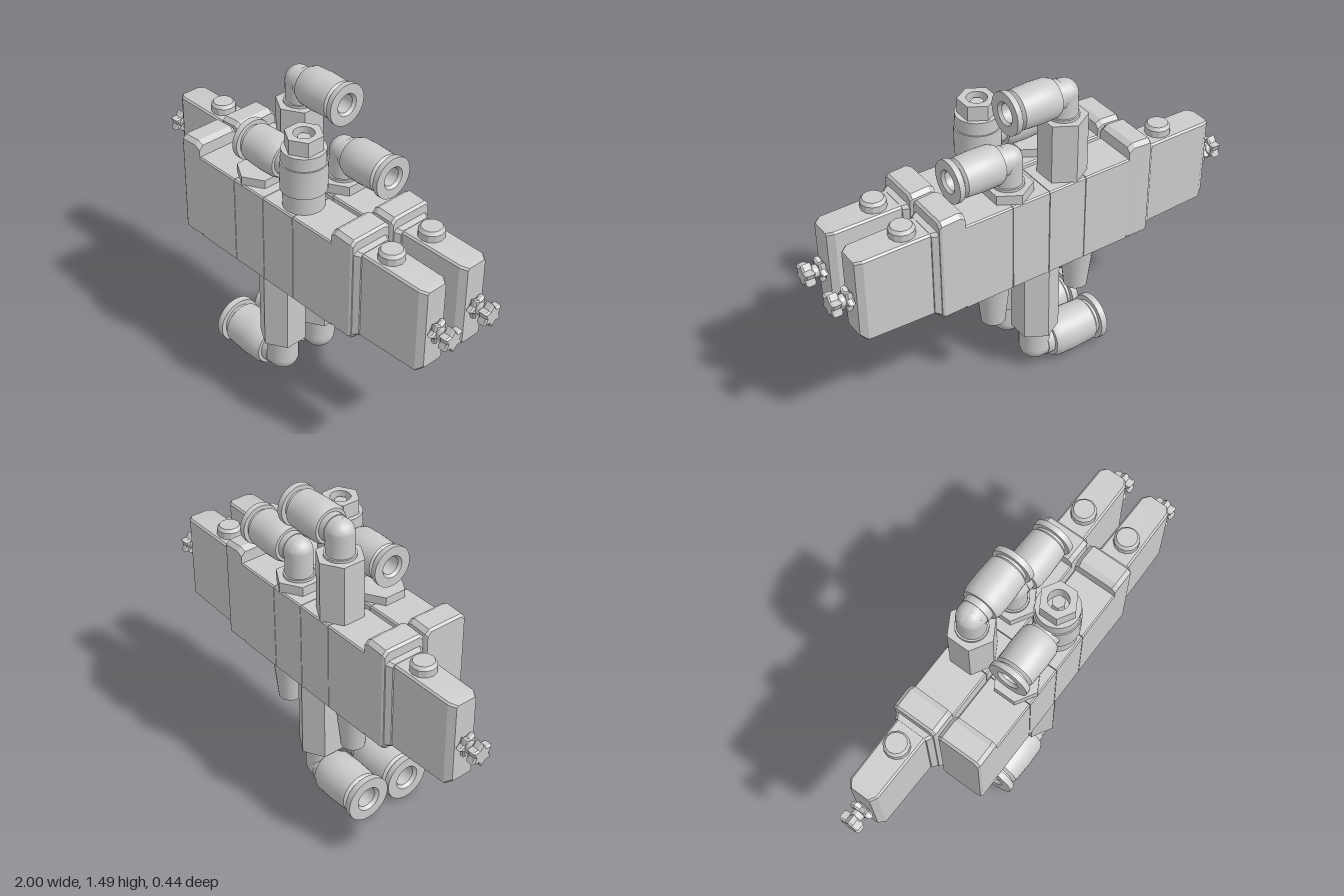
import * as THREE from 'three';
import { toCreasedNormals } from 'three/addons/utils/BufferGeometryUtils.js';

const material = new THREE.MeshStandardMaterial({ color: 0xcccccc });
const HEX = 6;

function add(parent, name, geometry, x = 0, y = 0, z = 0) {
  const mesh = new THREE.Mesh(toCreasedNormals(geometry, 0.5), material);
  mesh.name = name;
  mesh.position.set(x, y, z);
  parent.add(mesh);
  return mesh;
}

// Upright cylinder or prism given by its bottom and top heights
function post(parent, name, x, y0, y1, rBottom, rTop = rBottom, sides = 32) {
  return add(parent, name, new THREE.CylinderGeometry(rTop, rBottom, y1 - y0, sides), x, (y0 + y1) / 2);
}

// Loft along x through chamfered rectangles: [x, yBottom, yTop, halfWidth, chamfer]
function loft(sections) {
  const positions = [], index = [];
  for (const [x, y0, y1, w, c] of sections) {
    const ring = [[y0, w - c], [y0, c - w], [y0 + c, -w], [y1 - c, -w], [y1, c - w], [y1, w - c], [y1 - c, w], [y0 + c, w]];
    for (const [y, z] of ring) positions.push(x, y, z);
  }
  const last = (sections.length - 1) * 8;
  for (let s = 0; s < last; s += 8) {
    for (let i = 0; i < 8; i++) {
      const a = s + i, b = s + (i + 1) % 8;
      index.push(a, b, a + 8, b, b + 8, a + 8);
    }
  }
  for (let i = 1; i < 7; i++) index.push(0, i + 1, i, last, last + i, last + i + 1);
  const geometry = new THREE.BufferGeometry();
  geometry.setAttribute('position', new THREE.Float32BufferAttribute(positions, 3));
  geometry.setIndex(index);
  return geometry;
}

// Push-in tube socket with release collar, pointing along +x (dir 1) or -x (dir -1)
function socket(parent, x, y, dir, s) {
  const profile = [[0, 0.03], [0.076, 0.03], [0.076, 0.065], [0.092, 0.065], [0.103, 0.09], [0.105, 0.17],
    [0.1, 0.28], [0.085, 0.292], [0.085, 0.305], [0.108, 0.305], [0.11, 0.312], [0.11, 0.335],
    [0.06, 0.335], [0.048, 0.32], [0.048, 0.22], [0, 0.22]].map(([r, d]) => new THREE.Vector2(r * s, d * s));
  const geometry = new THREE.LatheGeometry(profile, 32);
  geometry.rotateZ(-dir * Math.PI / 2);
  add(parent, 'tubeSocket', geometry, x, y);
}

// Elbow fitting: round corner, stem to the given height, socket
function elbow(parent, x, y, stemY, dir, s) {
  const group = new THREE.Group();
  group.name = 'elbowFitting';
  parent.add(group);
  const r = 0.072 * s, up = Math.sign(stemY - y);
  add(group, 'elbowCorner', new THREE.SphereGeometry(r, 32, 20), x, y);
  post(group, 'elbowStem', x, Math.min(y, stemY), Math.max(y, stemY), r);
  const rim = stemY - up * 0.022;
  post(group, 'elbowRim', x, Math.min(rim, stemY), Math.max(rim, stemY), r * 1.13);
  const arm = new THREE.CylinderGeometry(r, r, 0.07 * s, 32);
  arm.rotateZ(Math.PI / 2);
  add(group, 'elbowArm', arm, x + dir * 0.035 * s, y);
  socket(group, x, y, dir, s);
}

// Solenoid head with override button and lead connector, along +x
function solenoid(parent, turn) {
  const group = new THREE.Group();
  group.name = 'solenoid';
  group.rotation.y = turn;
  parent.add(group);
  add(group, 'solenoidHousing', loft([
    [0.52, 0.6, 1.02, 0.074, 0.008], [0.865, 0.61, 1.018, 0.07, 0.008], [0.895, 0.635, 1.01, 0.05, 0.008],
  ]));
  post(group, 'overrideButton', 0.65, 1.01, 1.05, 0.057, 0.057, 12);
  post(group, 'buttonTop', 0.65, 1.05, 1.065, 0.057, 0.046, 12);

  const rod = new THREE.CylinderGeometry(0.028, 0.028, 0.11, 12);
  rod.rotateZ(Math.PI / 2);
  add(group, 'leadCore', rod, 0.935, 0.81);
  // Two star-shaped collars grip the lead
  [[0.9, 0.03, 0.054], [0.955, 0.045, 0.056]].forEach(([x, depth, r], k) => {
    const points = [];
    for (let i = 0; i < 12; i++) {
      const a = (i / 12) * Math.PI * 2 + k * 0.5, q = i % 2 ? r * 0.66 : r;
      points.push(new THREE.Vector2(Math.cos(a) * q, Math.sin(a) * q));
    }
    const star = new THREE.ExtrudeGeometry(new THREE.Shape(points), {
      depth: depth - 0.016, bevelThickness: 0.008, bevelSize: 0.006, bevelOffset: -0.006, bevelSegments: 1,
    });
    star.rotateY(Math.PI / 2);
    add(group, 'leadCollar', star, x + 0.008, 0.81);
  });
}

// Valve body, raised end caps and the supply fitting underneath
function valve(name, z) {
  const group = new THREE.Group();
  group.name = name;
  group.position.z = z;
  const seams = [-0.42, -0.185, 0, 0.185, 0.42];
  for (let i = 0; i < 4; i++) {
    add(group, 'bodySegment', loft([
      [seams[i] + 0.0015, 0.587, 1.016, 0.104, 0.006], [seams[i + 1] - 0.0015, 0.587, 1.016, 0.104, 0.006],
    ]));
  }
  add(group, 'bodyCore', new THREE.BoxGeometry(0.84, 0.41, 0.19), 0, 0.8);
  for (const turn of [0, Math.PI]) {
    const cap = add(group, 'endCap', loft([
      [0.415, 0.582, 1.07, 0.104, 0.02], [0.44, 0.58, 1.085, 0.106, 0.018],
      [0.525, 0.58, 1.08, 0.106, 0.018], [0.535, 0.585, 1.07, 0.1, 0.02],
    ]));
    cap.rotation.y = turn;
  }
  post(group, 'supplyHex', 0, 0.222, 0.59, 0.107, 0.107, HEX);
  elbow(group, 0, 0.11, 0.235, -1, 1);
  return group;
}

export function createModel() {
  const model = new THREE.Group();
  model.name = 'valvePair';
  const front = valve('singleSolenoidValve', 0.11);
  const back = valve('doubleSolenoidValve', -0.115);
  model.add(front, back);

  solenoid(front, 0);
  solenoid(back, 0);
  solenoid(back, Math.PI);

  // Stepped inner shoulder where a solenoid meets its cap
  for (const [parent, turn] of [[front, 0], [back, 0], [back, Math.PI]]) {
    const shoulder = add(parent, 'capShoulder', loft([
      [0.53, 0.59, 1.03, 0.098, 0.015], [0.56, 0.605, 1.022, 0.08, 0.012],
    ]));
    shoulder.rotation.y = turn;
  }

  // Tapered exhaust silencers under the rear valve
  for (const x of [-0.223, 0.223]) {
    post(back, 'silencer', x, 0.365, 0.59, 0.054, 0.078, 24);
  }

  // Rear valve outlets: one tall elbow and one low elbow
  post(back, 'tallHex', -0.135, 1.01, 1.295, 0.107, 0.107, HEX);
  elbow(back, -0.135, 1.4, 1.285, 1, 0.86);
  post(back, 'lowHex', 0.14, 1.01, 1.06, 0.107, 0.107, HEX);
  elbow(back, 0.14, 1.18, 1.05, 1, 0.86);

  // Front valve outlets: a plugged port and a banjo fitting
  post(front, 'portPlug', -0.135, 1.01, 1.055, 0.104, 0.104, HEX);
  const banjo = new THREE.Group();
  banjo.name = 'banjoFitting';
  front.add(banjo);
  post(banjo, 'banjoBase', 0.14, 1.01, 1.1, 0.09);
  post(banjo, 'banjoRing', 0.14, 1.1, 1.23, 0.101);
  post(banjo, 'banjoNeck', 0.14, 1.23, 1.29, 0.095);
  const head = new THREE.Shape();
  for (let i = 0; i < HEX; i++) {
    const a = Math.PI / 2 + (i * Math.PI) / 3;
    head[i ? 'lineTo' : 'moveTo'](Math.cos(a) * 0.084, Math.sin(a) * 0.084);
  }
  head.holes.push(new THREE.Path().absarc(0, 0, 0.045, 0, Math.PI * 2, true));
  const headGeometry = new THREE.ExtrudeGeometry(head, { depth: 0.07, bevelEnabled: false, curveSegments: 16 });
  headGeometry.rotateX(-Math.PI / 2);
  add(banjo, 'banjoHead', headGeometry, 0.14, 1.288);
  post(banjo, 'banjoScrew', 0.14, 1.28, 1.34, 0.03, 0.03, HEX);
  const arm = new THREE.CylinderGeometry(0.065, 0.065, 0.1, 32);
  arm.rotateZ(Math.PI / 2);
  add(banjo, 'banjoArm', arm, 0.07, 1.175);
  socket(banjo, 0.088, 1.175, -1, 0.86);

  return model;
}
